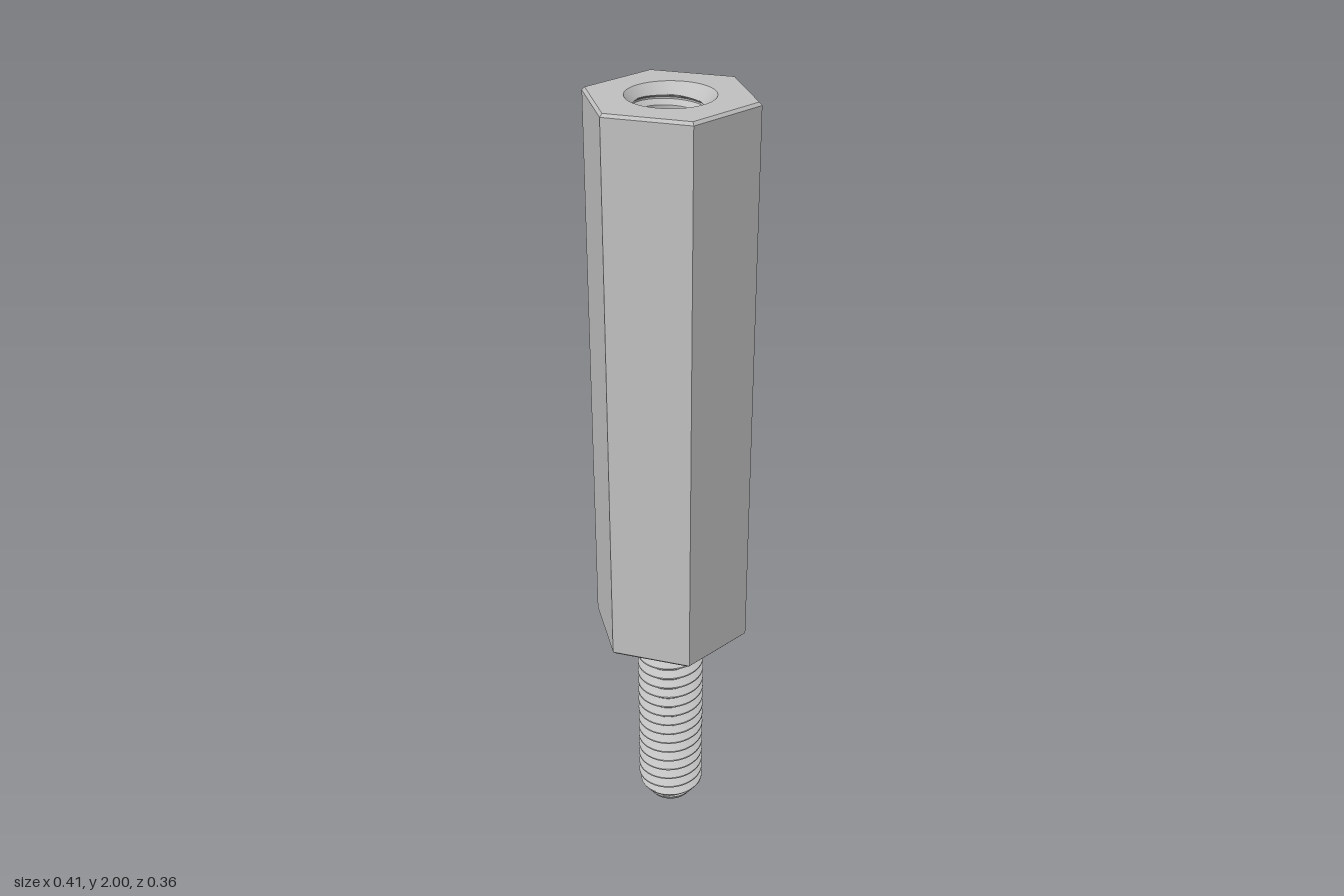
import * as THREE from 'three';
import { toCreasedNormals } from 'three/addons/utils/BufferGeometryUtils.js';

const PITCH = 0.032, SEGMENTS = 48, ROWS = 16;
const BODY_Y = 0.58, TOP_Y = 2, HOLE_Y = 1.43;
const HEX_R = 0.205, BEVEL = 0.007, SINK_R = 0.103;

// Thread height 0..1 over one pitch: flat root, 60 degree flanks, narrow crest
function threadHeight(phase) {
  const p = (phase - Math.floor(phase)) * 16;
  if (p < 4) return 0;
  if (p < 9) return (p - 4) / 5;
  return p < 11 ? 1 : (16 - p) / 5;
}

// Right-handed helical surface from y0 to y1; clip(r, y) trims it with a cone
function threadGeometry(y0, y1, rootR, crestR, clip, inward) {
  const point = (i, j) => {
    const turn = i / SEGMENTS, a = turn * Math.PI * 2;
    const y = THREE.MathUtils.clamp(y0 + (j / ROWS + turn - 1) * PITCH, y0, y1);
    const h = threadHeight((y - y0) / PITCH - turn);
    const r = clip(rootR + (crestR - rootR) * h, y);
    return [r * Math.cos(a), y, -r * Math.sin(a)];
  };
  const positions = [];
  const addTriangle = (a, b, c) => {
    if (a[1] === b[1] && b[1] === c[1]) return;
    positions.push(...a, ...(inward ? c : b), ...(inward ? b : c));
  };
  const rows = (Math.ceil((y1 - y0) / PITCH) + 1) * ROWS;
  for (let j = 0; j < rows; j++) {
    for (let i = 0; i < SEGMENTS; i++) {
      const a = point(i, j), b = point(i + 1, j);
      const c = point(i + 1, j + 1), d = point(i, j + 1);
      addTriangle(a, b, c);
      addTriangle(a, c, d);
    }
  }
  const geometry = new THREE.BufferGeometry();
  geometry.setAttribute('position', new THREE.Float32BufferAttribute(positions, 3));
  return toCreasedNormals(geometry, 0.4);
}

export function createModel() {
  const group = new THREE.Group();
  const steel = new THREE.MeshStandardMaterial({ color: 0xc0c0c0 });
  steel.name = 'steel';
  const add = (name, geometry, y = 0) => {
    const mesh = new THREE.Mesh(geometry, steel);
    mesh.name = name;
    mesh.position.y = y;
    group.add(mesh);
  };

  // Six-sided body with small bevels and a closed underside
  const profile = [
    [0, BODY_Y], [HEX_R - BEVEL, BODY_Y], [HEX_R, BODY_Y + BEVEL],
    [HEX_R, TOP_Y - BEVEL], [HEX_R - BEVEL, TOP_Y],
  ].map(([r, y]) => new THREE.Vector2(r, y));
  const body = new THREE.LatheGeometry(profile, 6, Math.PI / 2);
  add('hexBody', toCreasedNormals(body, 0.2));

  // Top face with a round opening
  const corners = [];
  for (let i = 0; i < 6; i++) {
    const a = i * Math.PI / 3, r = HEX_R - BEVEL;
    corners.push(new THREE.Vector2(r * Math.cos(a), r * Math.sin(a)));
  }
  const face = new THREE.Shape(corners);
  face.holes.push(new THREE.Path().absarc(0, 0, SINK_R, 0, Math.PI * 2, true));
  add('topFace', new THREE.ShapeGeometry(face, SEGMENTS / 2).rotateX(-Math.PI / 2), TOP_Y);

  // Threaded hole with countersink and floor
  const sink = (r, y) => Math.max(r, SINK_R - (TOP_Y - y));
  add('threadedHole', threadGeometry(HOLE_Y, TOP_Y, 0.073, 0.0885, sink, true));
  add('holeFloor', new THREE.CircleGeometry(0.09, SEGMENTS).rotateX(-Math.PI / 2), HOLE_Y);

  // Threaded stud with tapered tip and end face
  const taper = (r, y) => Math.min(r, 0.058 + 0.7 * y);
  add('threadedStud', threadGeometry(0, BODY_Y + 0.005, 0.068, 0.0885, taper, false));
  add('studEnd', new THREE.CircleGeometry(0.058, SEGMENTS).rotateX(Math.PI / 2));

  return group;
}
